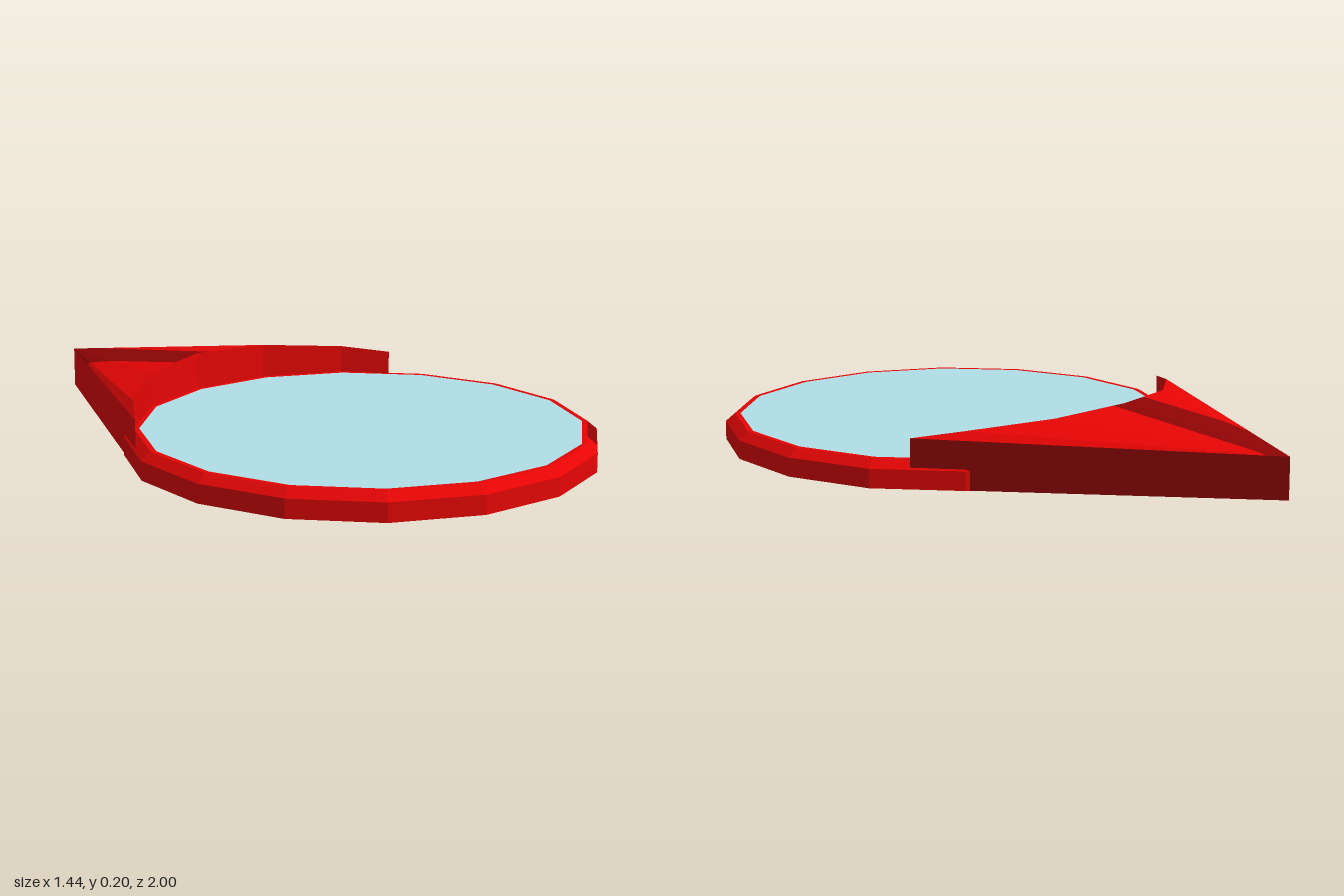
import * as THREE from 'three';

const flat = (name, color) =>
  new THREE.MeshStandardMaterial({ name, color, flatShading: true, side: THREE.DoubleSide });
const red = flat('red', 0xe60505);
const darkRed = flat('darkRed', 0x8f0404);
const paleBlue = flat('paleBlue', 0xb1e0e8);

const CENTRE_Z = 0.278, SIDES = 16, STEP = (2 * Math.PI) / SIDES;

function part(name, geometry, material) {
  const g = geometry.index ? geometry.toNonIndexed() : geometry;
  g.computeVertexNormals();
  const mesh = new THREE.Mesh(g, material);
  mesh.name = name;
  return mesh;
}

// Faceted turned part around the disc centre
function turned(name, profile, material, start = 0, sides = SIDES) {
  const points = profile.map(([r, y]) => new THREE.Vector2(r, y));
  const mesh = part(name, new THREE.LatheGeometry(points, sides, start, sides * STEP), material);
  mesh.position.z = CENTRE_Z;
  return mesh;
}

// Each polygon is a counterclockwise loop of points, split as a fan
function panel(name, polygons, material) {
  const pos = [];
  for (const p of polygons)
    for (let i = 1; i < p.length - 1; i++) pos.push(...p[0], ...p[i], ...p[i + 1]);
  const g = new THREE.BufferGeometry();
  g.setAttribute('position', new THREE.Float32BufferAttribute(pos, 3));
  return part(name, g, material);
}

const lerp = (a, b, t) => a.map((v, k) => v + (b[k] - v) * t);

// Keep the part of each polygon where side(point) is positive
function clip(polygons, side) {
  return polygons.map((poly) => poly.flatMap((a, i) => {
    const b = poly[(i + 1) % poly.length], da = side(a), db = side(b);
    const kept = da >= 0 ? [a] : [];
    if (da * db < 0) kept.push(lerp(a, b, da / (da - db)));
    return kept;
  })).filter((poly) => poly.length > 2);
}

// Open-bottomed rim; one facet is split into a red and a dark piece
function makeRim() {
  const rim = new THREE.Group();
  rim.name = 'rim';
  const wall = [[0.722, 0], [0.722, 0.058], [0.692, 0.083]];
  const lip = [[0.692, 0.083], [0.675, 0.083]];
  rim.add(
    turned('rimWall', wall, red, 2 * STEP, SIDES - 1),
    turned('rimLip', lip, red),
  );
  const at = ([r, y], phi) => [r * Math.sin(phi), y, r * Math.cos(phi) + CENTRE_Z];
  const plain = [], dark = [];
  for (let j = 0; j < wall.length - 1; j++) {
    const a = at(wall[j], STEP), b = at(wall[j], 2 * STEP);
    const c = at(wall[j + 1], 2 * STEP), d = at(wall[j + 1], STEP);
    const low = lerp(a, b, 0.31), high = lerp(d, c, 0.31);
    plain.push([a, low, high, d]);
    dark.push([low, b, c, high]);
  }
  rim.add(panel('rimFacet', plain, red), panel('rimDarkPatch', dark, darkRed));
  return rim;
}

// Hollow pointed hood: a curved front edge running back to the tip
function makeHood() {
  const hood = new THREE.Group();
  hood.name = 'hood';
  const half = [[0.264, 0.19, -0.3625], [0.488, 0.17, -0.213], [0.595, 0.15, -0.095]];
  const arc = [
    ...half.map(([x, y, z]) => [-x, y, z]).reverse(),
    [0, 0.2, -0.415],
    ...half,
  ];
  const at = (p, y) => [p[0], y, p[2]];
  const tip = [0, 0.127, -1], tipBase = at(tip, 0);
  const leftEnd = arc[arc.length - 1], rightEnd = arc[0];
  const roof = [], front = [];
  for (let i = 0; i < arc.length - 1; i++) {
    const a = arc[i], b = arc[i + 1];
    roof.push([tip, a, b]);
    front.push([at(a, 0.08), at(b, 0.08), b, a]);
  }

  // Borders of the dark stripe along the roof
  const pastRight = ([x, , z]) => x + 0.105 - 0.053 * z;
  const pastLeft = ([x, , z]) => x - 0.051 - 0.015 * z;
  const stripe = clip(clip(roof, pastRight), (p) => -pastLeft(p));
  hood.add(
    panel('hoodRoofRight', clip(roof, (p) => -pastRight(p)), red),
    panel('hoodRoofStripe', stripe, darkRed),
    panel('hoodRoofLeft', clip(roof, pastLeft), red),
    panel('hoodFront', front, red),
    panel('hoodLeftWall', [[at(leftEnd, 0), tipBase, tip, leftEnd]], darkRed),
    panel('hoodRightWall', [[tipBase, at(rightEnd, 0), rightEnd, tip]], red),
  );
  return hood;
}

export function createModel() {
  const model = new THREE.Group();
  model.name = 'pointedDisc';
  // Shallow inverted cup filling the rim
  const lens = turned('lens', [[0.675, 0.035], [0.675, 0.083], [0, 0.083]], paleBlue);
  model.add(makeRim(), lens, makeHood());
  return model;
}
